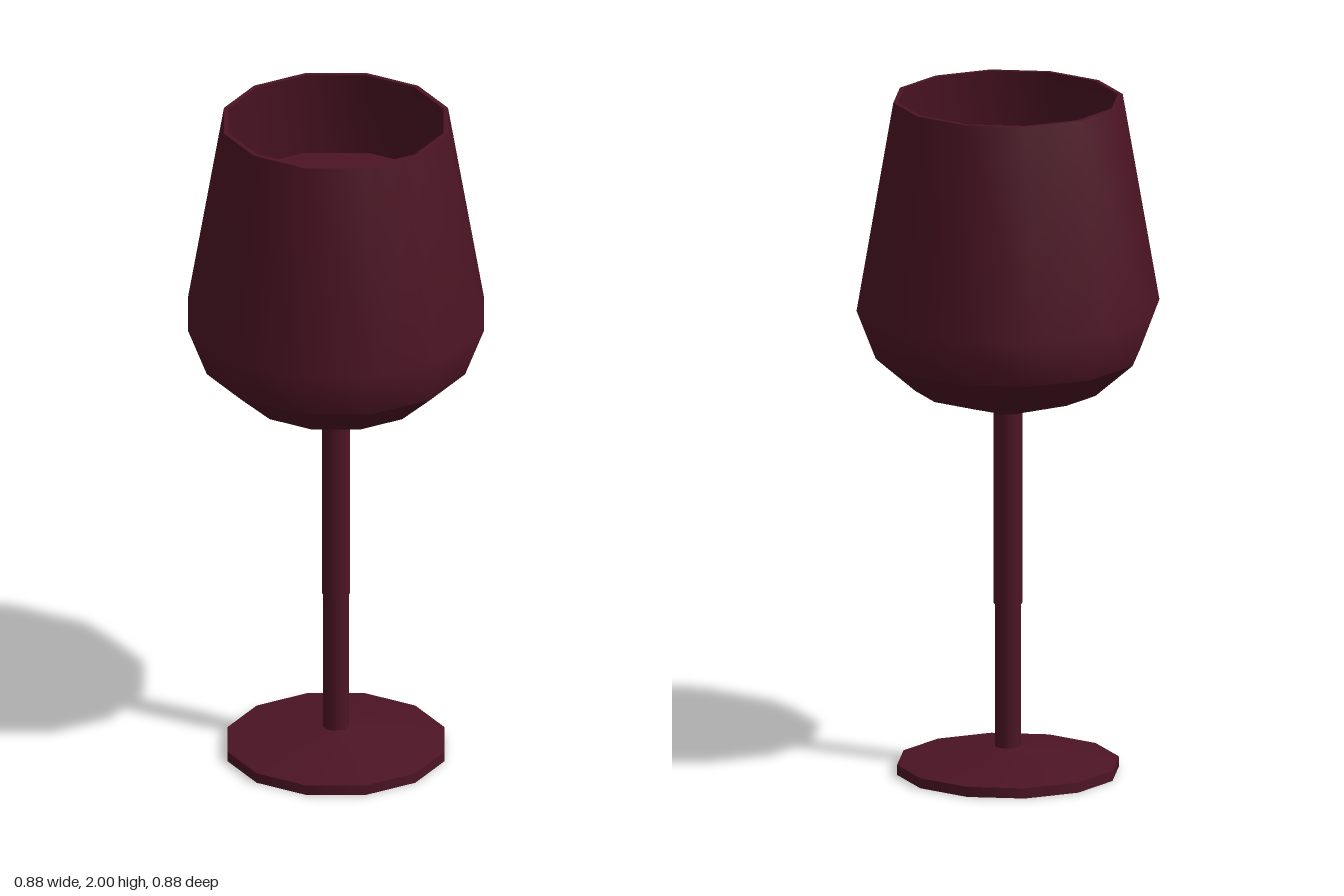
import * as THREE from 'three';

const SIDES = 12;
const wine = new THREE.MeshStandardMaterial({ color: 0x4c1424 });

// Each profile runs upward for outward-facing walls; separate profiles keep an edge sharp.
function turned(name, profiles) {
  const group = new THREE.Group();
  group.name = name;
  profiles.forEach((profile, i) => {
    const points = profile.map(([r, y]) => new THREE.Vector2(r, y));
    const mesh = new THREE.Mesh(new THREE.LatheGeometry(points, SIDES), wine);
    mesh.name = `${name}Surface${i + 1}`;
    group.add(mesh);
  });
  return group;
}

export function createModel() {
  const glass = new THREE.Group();
  glass.name = 'wineGlass';

  // Foot: flat underside, short rim, shallow cone
  glass.add(turned('foot', [
    [[0, 0], [0.323, 0]],
    [[0.323, 0], [0.323, 0.03]],
    [[0.323, 0.03], [0.038, 0.075]],
  ]));

  // Stem: slightly thicker upper half with a small step
  glass.add(turned('stem', [
    [[0.038, 0.07], [0.038, 0.5]],
    [[0.038, 0.5], [0.042, 0.5]],
    [[0.042, 0.5], [0.042, 1.08]],
  ]));

  // Bowl: underside, outer wall, rim, then the inner wall downward
  glass.add(turned('bowl', [
    [[0, 1.07], [0.042, 1.07], [0.27, 1.14], [0.385, 1.24]],
    [[0.385, 1.24], [0.441, 1.385], [0.334, 2]],
    [[0.334, 2], [0.32, 2]],
    [[0.32, 2], [0.425, 1.39], [0.37, 1.25], [0.26, 1.155], [0, 1.085]],
  ]));

  // Wine level inside the bowl
  glass.add(turned('wine', [[[0.367, 1.73], [0, 1.73]]]));

  return glass;
}
